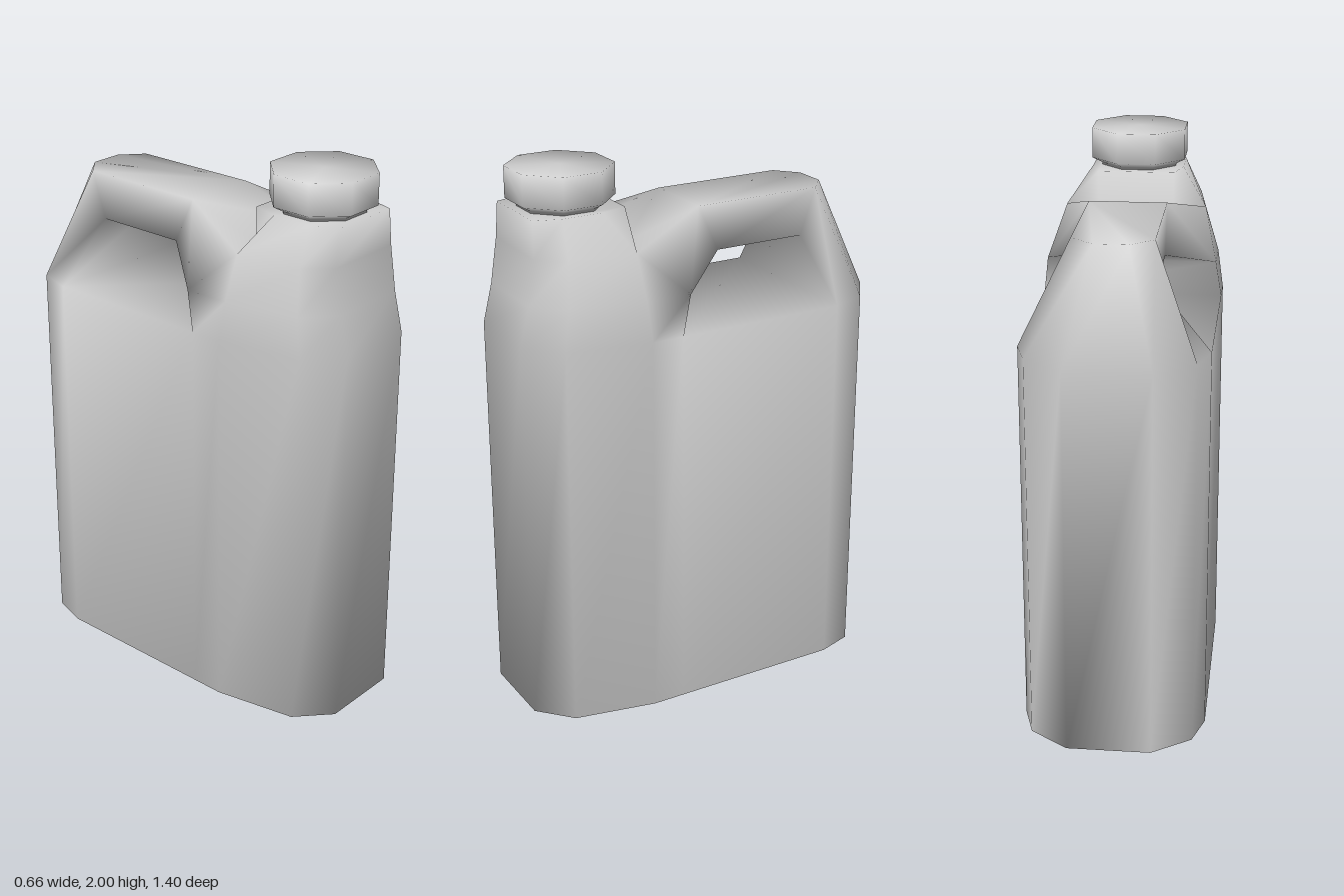
import * as THREE from 'three';
import { mergeVertices } from 'three/addons/utils/BufferGeometryUtils.js';

// Corner points of the left half (+x); the right half is mirrored.
const corners = {
  // front shoulder, from the body edge up to the neck
  f0: [0.33, 1.43, 0.17], f1: [0.33, 1.43, 0.29], f2: [0.27, 1.43, 0.59], f3: [0.15, 1.43, 0.70],
  m0: [0.31, 1.57, 0.13], m1: [0.31, 1.57, 0.30], m2: [0.26, 1.57, 0.57], m3: [0.15, 1.57, 0.665],
  u0: [0.14, 1.735, 0.29], u1: [0.26, 1.73, 0.31], u2: [0.23, 1.73, 0.55], u3: [0.15, 1.73, 0.64],
  n0: [0.14, 1.86, 0.29], n1: [0.17, 1.86, 0.39], n2: [0.17, 1.86, 0.54], n3: [0.14, 1.86, 0.635],
  // rear shoulder
  r0: [0.33, 1.43, -0.47], r1: [0.29, 1.43, -0.60], r2: [0.15, 1.43, -0.70],
  // handle
  hb1: [0.14, 1.65, -0.08], ht1: [0.14, 1.82, 0],
  hb2: [0.14, 1.65, -0.43], ht2: [0.14, 1.82, -0.49], crown: [0.06, 1.82, -0.56],
};
// Foot of the wall, straight below its upper edge
const wall = ['f3', 'f2', 'f1', 'f0', 'r0', 'r1', 'r2'];
for (const n of wall) corners['b' + n] = [corners[n][0], 0, corners[n][2]];

const flip = (n) => (n[0] === '-' ? n.slice(1) : '-' + n);

function bodyGeometry() {
  const positions = [], index = [], ids = {};
  for (const [name, [x, y, z]] of Object.entries(corners)) {
    ids[name] = positions.length / 3;
    positions.push(x, y, z);
    ids['-' + name] = positions.length / 3;
    positions.push(-x, y, z);
  }
  const face = (names) => {
    for (let i = 1; i < names.length - 1; i++) {
      index.push(ids[names[0]], ids[names[i]], ids[names[i + 1]]);
    }
  };
  // a face on each side
  const pair = (...names) => {
    face(names);
    face(names.map(flip).reverse());
  };
  // a face crossing the middle, given by its left corners
  const across = (...names) => face([...names, ...names.map(flip).reverse()]);
  // a band of quads between two rows, front to back
  const band = (low, high) => {
    for (let i = 0; i < low.length - 1; i++) pair(low[i], low[i + 1], high[i + 1], high[i]);
  };
  const row = (k, from = 3, to = 0) => {
    const out = [];
    for (let i = from; i >= to; i--) out.push(k + i);
    return out;
  };

  // wall, base and deck under the handle
  const foot = wall.map((n) => 'b' + n);
  band(foot, wall);
  across(...foot.slice().reverse());
  across('f0', 'r0');

  // front shoulder and neck
  band(row('f'), row('m'));
  band(row('m', 3, 1), row('u', 3, 1));
  band(row('u'), row('n'));
  across(...row('n'));
  across('u0', '-u0'.slice(1) && 'n0');
  index.splice(-6); // replaced by the outward-facing neck back below
  face(['u0', '-u0', '-n0', 'n0']);
  for (const [low, high] of [['bf3', 'f3'], ['f3', 'm3'], ['m3', 'u3'], ['u3', 'n3']]) {
    face(['-' + low, low, high, '-' + high]);
  }

  // flare from shoulder to handle
  pair('m1', 'm0', 'u1');
  pair('m0', 'ht1', 'u1');
  pair('m0', 'hb1', 'ht1');
  pair('u1', 'ht1', 'u0');
  across('u0', 'ht1');

  // handle sides and top
  pair('hb1', 'hb2', 'ht2', 'ht1');
  across('ht1', 'ht2', 'crown');

  // inside of the handle opening
  const inner = ['f0', 'm0', 'hb1', 'hb2', 'r0'];
  for (let i = 0; i < inner.length - 1; i++) {
    const a = inner[i], b = inner[i + 1];
    face([a, '-' + a, '-' + b, b]);
  }

  // rear shoulder and back
  pair('r0', 'r1', 'ht2', 'hb2');
  pair('r1', 'r2', 'crown', 'ht2');
  face(['r2', '-r2', '-crown', 'crown']);
  face(['br2', '-br2', '-r2', 'r2']);

  const g = new THREE.BufferGeometry();
  g.setAttribute('position', new THREE.Float32BufferAttribute(positions, 3));
  g.setIndex(index);
  g.computeVertexNormals();
  return g;
}

// Eight-sided screw cap with a narrow collar
function capGeometry() {
  const profile = [[0, 1.85], [0.15, 1.85], [0.15, 1.868], [0.188, 1.888], [0.188, 2], [0, 2]];
  let g = new THREE.LatheGeometry(profile.map(([r, y]) => new THREE.Vector2(r, y)), 8);
  g.rotateY(Math.PI / 8);
  g.deleteAttribute('uv');
  g.deleteAttribute('normal');
  g = mergeVertices(g, 1e-4);
  g.computeVertexNormals();
  return g;
}

export function createModel() {
  const plastic = new THREE.MeshStandardMaterial({ color: 0xcccccc });
  plastic.name = 'grey plastic';

  const group = new THREE.Group();
  group.name = 'jug';

  const body = new THREE.Mesh(bodyGeometry(), plastic);
  body.name = 'bodyWithHandle';
  group.add(body);

  const cap = new THREE.Mesh(capGeometry(), plastic);
  cap.name = 'cap';
  cap.position.z = 0.463;
  group.add(cap);

  return group;
}
